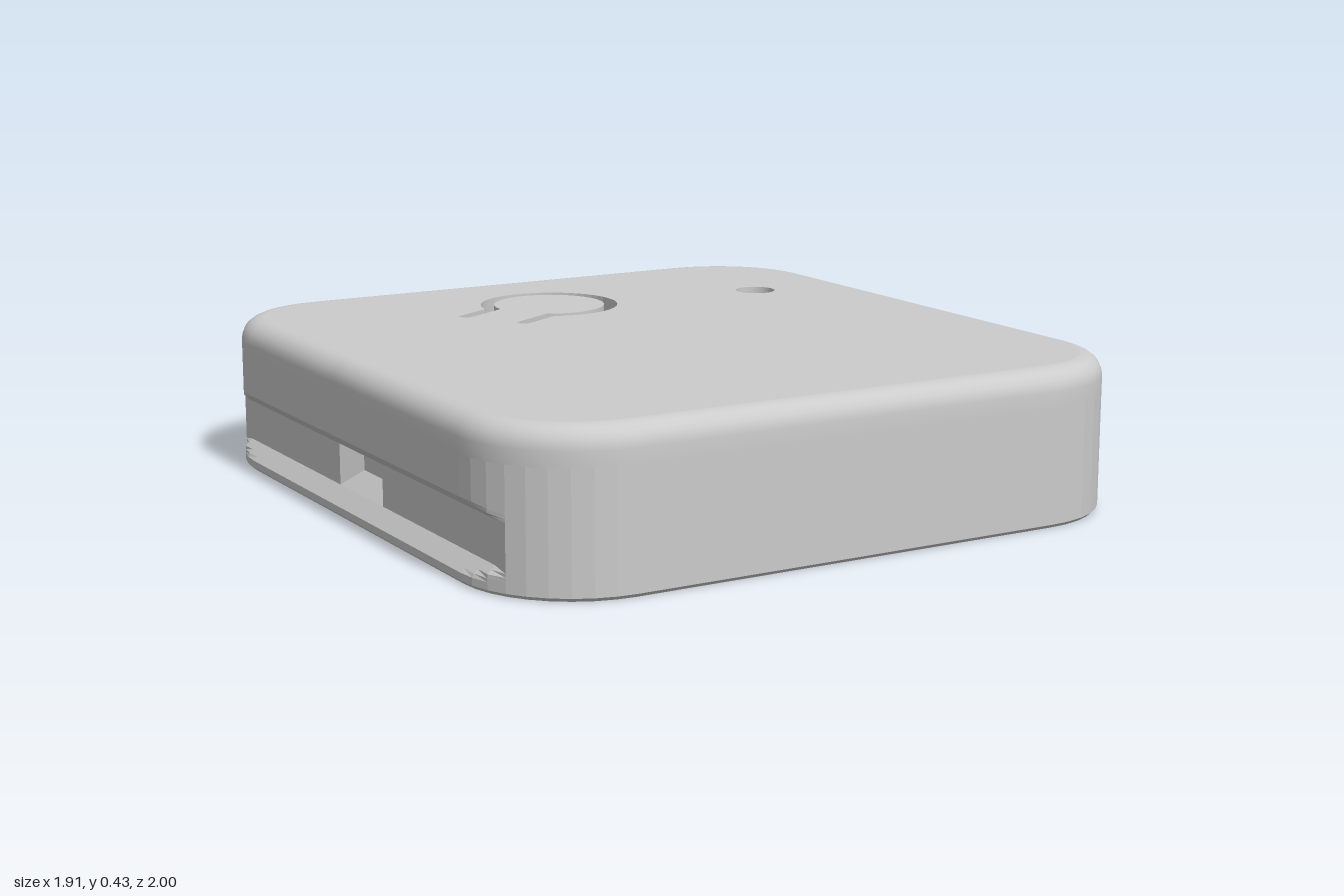
import * as THREE from 'three';
import { toCreasedNormals } from 'three/addons/utils/BufferGeometryUtils.js';

const HX = 0.955, HZ = 1, R = 0.32;   // half sizes and corner radius
const SEAM = 0.33, TOP = 0.43, WALL = 0.1;
const CORNER_STEPS = 9;
const BACK_SEGMENT = 3 * (CORNER_STEPS + 1) + 4 - 1; // straight run along the back

const material = new THREE.MeshStandardMaterial({ color: 0xcccccc });
const facetedMaterial = new THREE.MeshStandardMaterial({ color: 0xcccccc, flatShading: true });

function part(name, geometry, mat = material) {
  const mesh = new THREE.Mesh(geometry, mat);
  mesh.name = name;
  return mesh;
}

// Rounded rectangle in x/z; maxX flattens the sides, push dents their middle
function outline({ inset = 0, maxX = HX, push = 0 }) {
  const pts = [];
  const r = R - inset;
  for (let k = 0; k < 4; k++) {
    const cx = (k === 0 || k === 3 ? 1 : -1) * (HX - R);
    const cz = (k < 2 ? 1 : -1) * (HZ - R);
    for (let i = 0; i <= CORNER_STEPS; i++) {
      const a = (k + i / CORNER_STEPS) * Math.PI / 2;
      pts.push(new THREE.Vector2(cx + r * Math.cos(a), cz + r * Math.sin(a)));
    }
    // extra points for the side pockets
    if (k % 2) {
      const s = k === 1 ? 1 : -1;
      for (const z of [0.14, 0.09, -0.09, -0.14]) {
        pts.push(new THREE.Vector2(-s * (HX - inset), s * z));
      }
    }
  }
  for (const p of pts) {
    const dent = Math.abs(p.y) < 0.1 && Math.abs(p.x) > 0.8 ? push : 0;
    p.x = Math.sign(p.x) * (Math.min(Math.abs(p.x), maxX) - dent);
  }
  return pts;
}

// Skin through a stack of outlines, leaving the back panel open below the seam
function loft(levels) {
  const rings = levels.map((l) => outline(l).map((p) => new THREE.Vector3(p.x, l.y, p.y)));
  const verts = [];
  const n = rings[0].length;
  for (let j = 0; j < rings.length - 1; j++) {
    const low = Math.min(levels[j].y, levels[j + 1].y);
    const high = Math.max(levels[j].y, levels[j + 1].y);
    for (let i = 0; i < n; i++) {
      if (i === BACK_SEGMENT && low >= 0.01 && high <= SEAM) continue;
      const a = rings[j][i], b = rings[j][(i + 1) % n];
      const d = rings[j + 1][i], c = rings[j + 1][(i + 1) % n];
      const mirrored = (a.x + b.x) * (a.z + b.z) > 0;
      verts.push(...(mirrored ? [a, d, b, b, d, c] : [a, d, c, a, c, b]));
    }
  }
  const geo = new THREE.BufferGeometry().setFromPoints(verts);
  geo.computeVertexNormals();
  return geo;
}

// Horizontal plate from an x/z shape
function plate(shape, top, depth) {
  const geo = new THREE.ExtrudeGeometry(shape, { depth, bevelEnabled: false, curveSegments: 24 });
  return geo.rotateX(Math.PI / 2).translate(0, top, 0);
}

// C-shaped slot with two round-ended legs around the flexible button
function buttonSlot() {
  const pts = [];
  const arc = (u, v, r, from, to, steps) => {
    for (let i = 0; i <= steps; i++) {
      const a = from + (to - from) * i / steps;
      pts.push(new THREE.Vector2(u + r * Math.cos(a), v + r * Math.sin(a)));
    }
  };
  const outer = Math.asin(0.12 / 0.205), inner = Math.asin(0.08 / 0.165);
  const full = 2 * Math.PI, half = Math.PI / 2;
  arc(0, 0, 0.205, outer, full - outer, 40);
  arc(0.295, -0.1, 0.02, -half, half, 8);
  arc(0, 0, 0.165, full - inner, inner, 40);
  arc(0.295, 0.1, 0.02, -half, half, 8);
  const turn = Math.PI * 5 / 6;
  return new THREE.Path(pts.map((p) =>
    p.rotateAround(new THREE.Vector2(), turn).add(new THREE.Vector2(-0.05, -0.55))));
}

// Rounded rectangular path
function roundedPath(x0, y0, x1, y1, r) {
  const p = new THREE.Path();
  p.absarc(x1 - r, y0 + r, r, -Math.PI / 2, 0);
  p.absarc(x1 - r, y1 - r, r, 0, Math.PI / 2);
  p.absarc(x0 + r, y1 - r, r, Math.PI / 2, Math.PI);
  p.absarc(x0 + r, y0 + r, r, Math.PI, Math.PI * 1.5);
  p.closePath();
  return p;
}

function createBase() {
  const base = new THREE.Group();
  base.name = 'base';

  // Outer wall with a grip groove and a chamfered pocket in each side
  const levels = [{ y: 0, inset: 0.05 }, { y: 0, inset: 0.01 }, { y: 0.01 }];
  const GROOVE = 0.04, STEPS = 4;
  for (let i = 0; i <= STEPS; i++) {
    levels.push({ y: 0.03 + 0.04 * i / STEPS, maxX: HX - GROOVE * i / STEPS });
  }
  const maxX = HX - GROOVE;
  levels.push({ y: 0.115, maxX, push: 0.05 }, { y: 0.185, maxX, push: 0.05 });
  for (let i = 0; i <= STEPS; i++) {
    levels.push({ y: 0.185 + 0.037 * i / STEPS, maxX: maxX + GROOVE * i / STEPS });
  }
  levels.push({ y: SEAM });
  base.add(part('outerWall', loft(levels), facetedMaterial));

  // Inside of the shell
  base.add(part('innerWall', loft([
    { y: 0.37, inset: WALL }, { y: SEAM, inset: WALL }, { y: 0.04, inset: WALL },
  ]), facetedMaterial));

  base.add(part('floor', plate(new THREE.Shape(outline({ inset: 0.05 })), 0.04, 0.04)));

  // Back panel with the connector window
  const w = HX - R;
  const panel = new THREE.Shape([
    new THREE.Vector2(-w, 0.01), new THREE.Vector2(w, 0.01),
    new THREE.Vector2(w, SEAM), new THREE.Vector2(-w, SEAM),
  ]);
  panel.holes.push(roundedPath(0.05, 0.055, 0.58, 0.225, 0.045));
  const panelGeo = new THREE.ExtrudeGeometry(panel, { depth: WALL, bevelEnabled: false, curveSegments: 8 });
  base.add(part('backPanel', panelGeo.translate(0, 0, -HZ)));
  return base;
}

function createLid() {
  const lid = new THREE.Group();
  lid.name = 'lid';

  // Rounded rim
  const r = 0.06;
  const levels = [{ y: SEAM }];
  for (let i = 0; i <= 6; i++) {
    const a = i / 6 * Math.PI / 2;
    levels.push({ y: TOP - r + r * Math.sin(a), inset: r * (1 - Math.cos(a)) });
  }
  lid.add(part('rim', toCreasedNormals(loft(levels), 0.6)));

  // Top plate with button slot and indicator hole
  const top = new THREE.Shape(outline({ inset: r }));
  const light = new THREE.Path();
  light.absarc(0.62, -0.45, 0.06, 0, Math.PI * 2);
  top.holes.push(buttonSlot(), light);
  lid.add(part('topPlate', plate(top, TOP, r)));
  return lid;
}

export function createModel() {
  const model = new THREE.Group();
  model.name = 'deviceCase';
  model.add(createBase(), createLid());
  return model;
}
